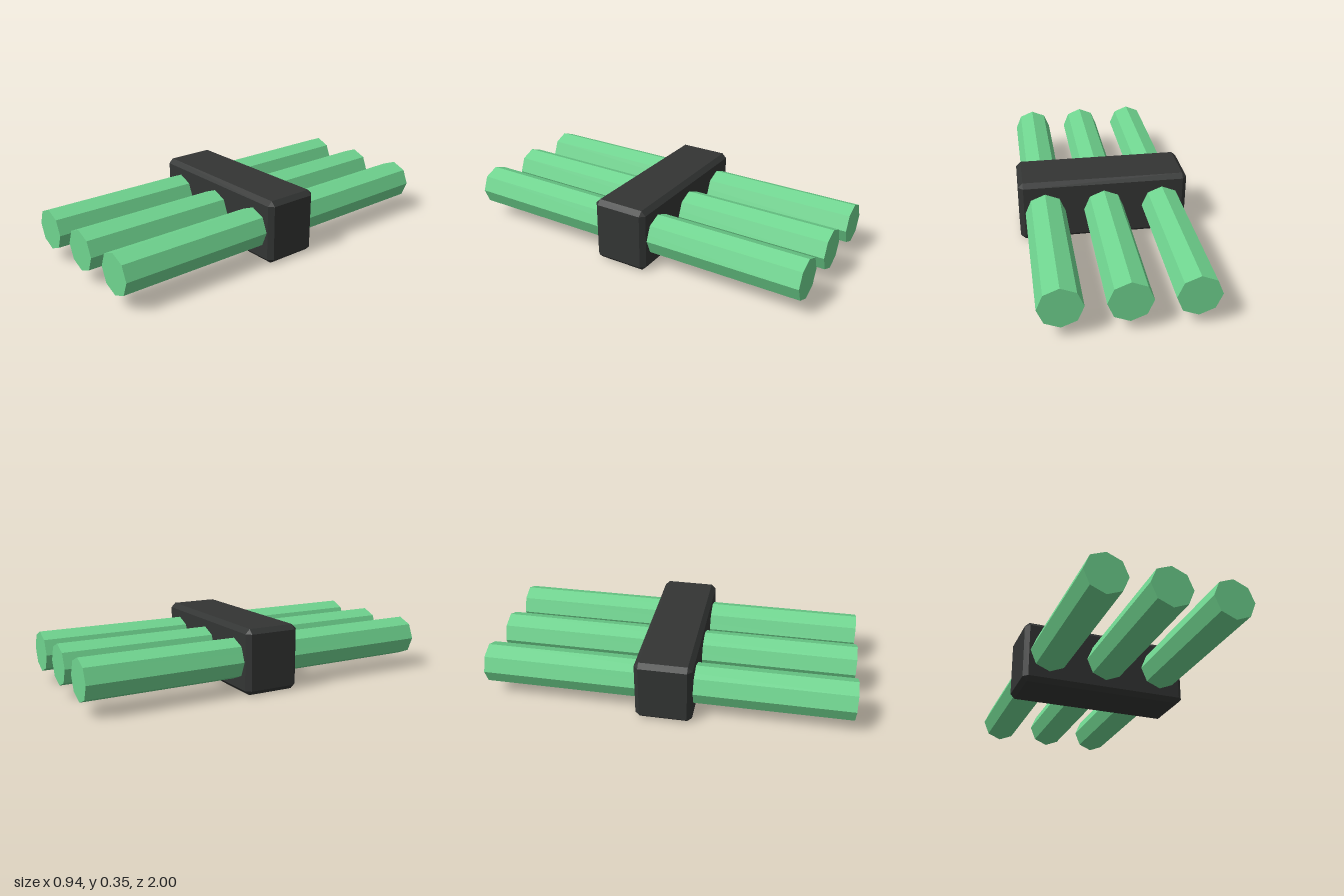
import * as THREE from 'three';
import { ConvexGeometry } from 'three/addons/geometries/ConvexGeometry.js';

// Box with every edge bevelled by c: hull of three inset corner points per corner
function chamferedBox(w, h, d, c) {
  const points = [];
  for (const sx of [-1, 1]) for (const sy of [-1, 1]) for (const sz of [-1, 1]) {
    const x = w / 2, y = h / 2, z = d / 2;
    points.push(
      new THREE.Vector3(sx * x, sy * (y - c), sz * (z - c)),
      new THREE.Vector3(sx * (x - c), sy * y, sz * (z - c)),
      new THREE.Vector3(sx * (x - c), sy * (y - c), sz * z)
    );
  }
  return new ConvexGeometry(points);
}

export function createModel() {
  const model = new THREE.Group();
  model.name = 'bundledRods';
  const green = new THREE.MeshStandardMaterial({ color: 0x6fd48f, flatShading: true });
  const black = new THREE.MeshStandardMaterial({ color: 0x333534, flatShading: true });
  const centreY = 0.176;

  // Clamp block around the middle
  const clamp = new THREE.Mesh(chamferedBox(0.936, 0.352, 0.31, 0.025), black);
  clamp.name = 'clampBlock';
  clamp.position.y = centreY;
  model.add(clamp);

  // Three octagonal rods running front to back
  const rodGeometry = new THREE.CylinderGeometry(0.111, 0.111, 2, 8).rotateX(Math.PI / 2);
  ['rightRod', 'middleRod', 'leftRod'].forEach((name, i) => {
    const rod = new THREE.Mesh(rodGeometry, green);
    rod.name = name;
    rod.position.set((i - 1) * 0.325, centreY, 0);
    model.add(rod);
  });

  return model;
}
